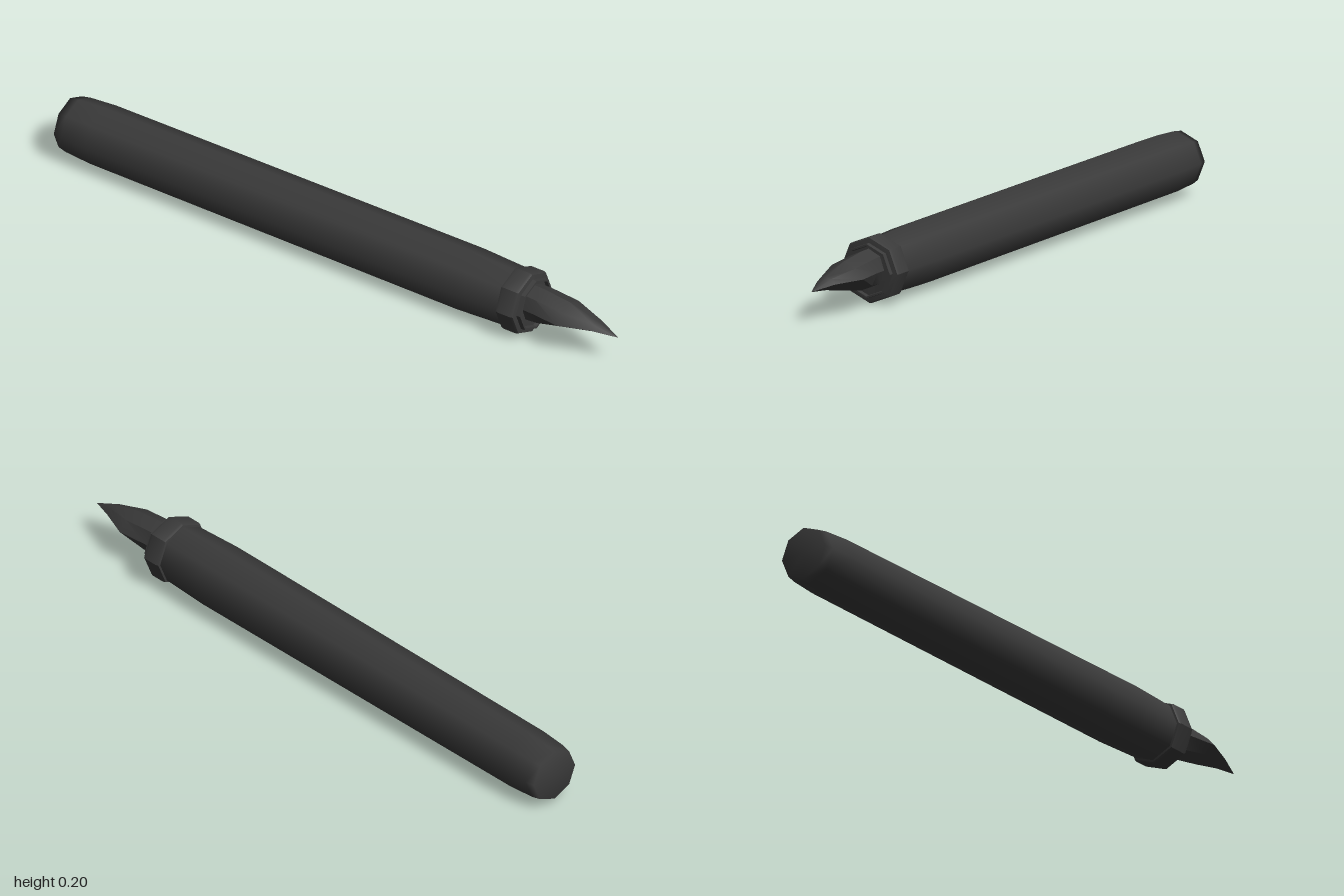
import * as THREE from 'three';
import { toCreasedNormals } from 'three/addons/utils/BufferGeometryUtils.js';

const AXIS_Y = 0.103;
const material = new THREE.MeshStandardMaterial({ color: 0x3a3a3a });

// Eight-sided turned part along x, from [x, radius] pairs
function turned(name, profile, crease) {
  const points = profile.map(([x, r]) => new THREE.Vector2(r, x));
  let geometry = new THREE.LatheGeometry(points, 8);
  geometry.rotateZ(-Math.PI / 2);
  if (crease) geometry = toCreasedNormals(geometry, crease);
  const mesh = new THREE.Mesh(geometry, material);
  mesh.name = name;
  mesh.position.y = AXIS_Y;
  return mesh;
}

// Pointed nib lofted through eight-point sections:
// x, top, shoulder [y, z], side [y, z], lower [y, z], bottom
function makeNib() {
  const sections = [
    [0.685, 0.17, [0.152, 0.04], [0.11, 0.055], [0.068, 0.04], 0.05],
    [0.73, 0.169, [0.15, 0.042], [0.111, 0.058], [0.07, 0.039], 0.051],
    [0.825, 0.158, [0.142, 0.042], [0.112, 0.069], [0.091, 0.036], 0.069],
    [0.92, 0.13, [0.126, 0.018], [0.111, 0.032], [0.102, 0.014], 0.09],
    [1, 0.1, [0.1, 0], [0.1, 0], [0.1, 0], 0.1],
  ];
  const rings = sections.map(([x, top, a, b, c, bottom]) => {
    const half = [a, b, c];
    const mirrored = [c, b, a].map(([y, z]) => [y, -z]);
    return [[top, 0], ...half, [bottom, 0], ...mirrored].map(([y, z]) => [x, y, z]);
  });
  const positions = [];
  for (let i = 0; i < rings.length - 1; i++) {
    for (let j = 0; j < 8; j++) {
      const k = (j + 1) % 8;
      const [a, b, c, d] = [rings[i][j], rings[i][k], rings[i + 1][k], rings[i + 1][j]];
      positions.push(...a, ...b, ...c);
      if (i < rings.length - 2) positions.push(...a, ...c, ...d);
    }
  }
  const geometry = new THREE.BufferGeometry();
  geometry.setAttribute('position', new THREE.Float32BufferAttribute(positions, 3));
  const mesh = new THREE.Mesh(toCreasedNormals(geometry, 0.6), material);
  mesh.name = 'nib';
  return mesh;
}

export function createModel() {
  const model = new THREE.Group();
  model.name = 'dipPen';

  // Smooth handle with tapered ends
  model.add(turned('handle', [
    [-1, 0], [-1, 0.083], [-0.97, 0.089], [-0.88, 0.095],
    [-0.24, 0.097], [0.46, 0.099], [0.635, 0.092],
  ]));

  // Faceted collar with a recessed socket for the nib
  model.add(turned('collar', [
    [0.622, 0.088], [0.624, 0.099], [0.632, 0.102], [0.678, 0.102], [0.686, 0.099],
    [0.688, 0.084], [0.702, 0.083], [0.702, 0.077], [0.69, 0.075], [0.69, 0],
  ], 0.5));

  model.add(makeNib());
  return model;
}
